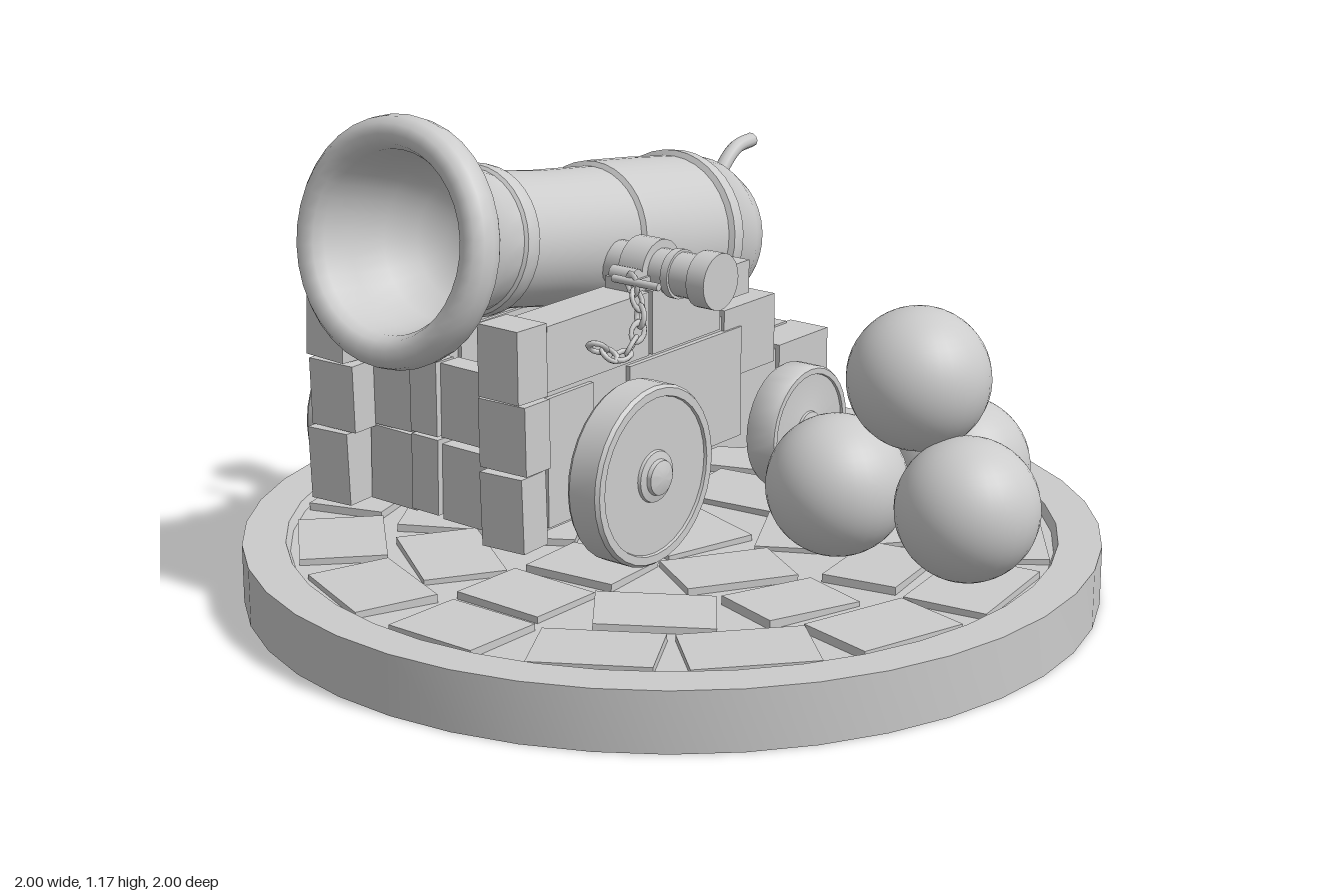
import * as THREE from 'three';
import { toCreasedNormals } from 'three/addons/utils/BufferGeometryUtils.js';

const grey = new THREE.MeshStandardMaterial({ color: 0xcccccc });
const greyDouble = new THREE.MeshStandardMaterial({ color: 0xcccccc, side: THREE.DoubleSide });

let seed = 7;
const jitter = (a) => {
  seed = (seed * 16807) % 2147483647;
  return (seed / 2147483647 - 0.5) * 2 * a;
};

function add(parent, name, geometry, x = 0, y = 0, z = 0, material = grey) {
  const mesh = new THREE.Mesh(geometry, material);
  mesh.name = name;
  mesh.position.set(x, y, z);
  parent.add(mesh);
  return mesh;
}
const box = (w, h, d) => new THREE.BoxGeometry(w, h, d);
// Cylinder lying along x
const rod = (r, length, sides = 20) => new THREE.CylinderGeometry(r, r, length, sides).rotateZ(-Math.PI / 2);
const lathe = (points, sides, crease = 0.6) => toCreasedNormals(
  new THREE.LatheGeometry(points.map(([r, y]) => new THREE.Vector2(r, y)), sides), crease);

// Round stand, open below, paved with rings of uneven stones
function makeBase() {
  const base = new THREE.Group();
  base.name = 'base';
  add(base, 'stand', lathe([[1, 0], [1, 0.14], [0.9, 0.14], [0.89, 0.118], [0, 0.118]], 40, 0.4), 0, 0, 0, greyDouble);
  const rings = [[0.77, 15, 0.19, 0.27], [0.54, 11, 0.19, 0.25], [0.31, 6, 0.19, 0.25], [0, 1, 0.24, 0.3]];
  for (const [radius, count, depth, width] of rings) {
    for (let i = 0; i < count; i++) {
      const a = ((i + radius) / count) * Math.PI * 2;
      const stone = add(base, 'pavingStone', box(width + jitter(0.03), 0.05, depth + jitter(0.015)),
        Math.sin(a) * radius, 0.109, Math.cos(a) * radius);
      stone.rotation.set(jitter(0.03), a + jitter(0.1), jitter(0.03));
    }
  }
  return base;
}

// Barrel along z, turned from one closed profile with a hollow bore
function makeBarrel() {
  const barrel = new THREE.Group();
  barrel.name = 'barrel';
  const profile = [
    [0, -0.655], [0.06, -0.645], [0.12, -0.612], [0.165, -0.565], [0.192, -0.505], [0.203, -0.43],
    [0.208, -0.425], [0.208, -0.39], [0.194, -0.385],
    [0.19, -0.25], [0.182, -0.1], [0.18, -0.08], [0.168, -0.075], [0.158, 0.12], [0.157, 0.295],
    [0.172, 0.3], [0.175, 0.32], [0.172, 0.34], [0.164, 0.345],
    [0.178, 0.41], [0.2, 0.47], [0.22, 0.515], [0.24, 0.535],
    [0.262, 0.543], [0.276, 0.56], [0.281, 0.585], [0.276, 0.61], [0.26, 0.628], [0.237, 0.633],
    [0.216, 0.622], [0.204, 0.598], [0.196, 0.52], [0.178, 0.43], [0.14, 0.36], [0.08, 0.325], [0, 0.315],
  ];
  add(barrel, 'gunTube', lathe(profile, 36, 0.7).rotateX(Math.PI / 2));
  barrel.position.y = 0.787;
  barrel.rotation.x = -0.182;
  return barrel;
}

// Wheel with raised rim and domed hub, facing outward along x
function makeWheel(name, side, r, width) {
  const wheel = new THREE.Group();
  wheel.name = name;
  const h = width / 2;
  const profile = [[0, -h], [r * 0.97, -h], [r, -h * 0.8], [r, h * 0.8], [r * 0.97, h], [r * 0.88, h],
    [r * 0.87, h * 0.85], [r * 0.29, h * 0.85], [r * 0.28, h], [r * 0.2, h + 0.004],
    [r * 0.19, h + 0.014], [r * 0.1, h + 0.02], [0, h + 0.021]];
  add(wheel, 'wheelDisc', lathe(profile, 32).rotateZ(-side * Math.PI / 2));
  return wheel;
}

// Chain of alternating links along a curve
function makeChain(side) {
  const chain = new THREE.Group();
  chain.name = 'chain';
  const curve = new THREE.CatmullRomCurve3([[0.32, 0.76, 0.15], [0.35, 0.69, 0.16], [0.36, 0.64, 0.2],
    [0.36, 0.62, 0.25], [0.34, 0.65, 0.3]].map(([x, y, z]) => new THREE.Vector3(side * x, y, z)));
  const links = 8;
  for (let i = 0; i < links; i++) {
    const t = i / (links - 1);
    const geometry = new THREE.TorusGeometry(0.015, 0.006, 6, 12).scale(1.5, 1, 1);
    geometry.rotateX(i % 2 ? Math.PI / 2 : 0);
    const p = curve.getPointAt(t);
    const link = add(chain, 'chainLink', geometry, p.x, p.y, p.z);
    link.quaternion.setFromUnitVectors(new THREE.Vector3(1, 0, 0), curve.getTangentAt(t));
  }
  add(chain, 'chainPin', rod(0.009, 0.13, 10), side * 0.33, 0.765, 0.15);
  return chain;
}

// One side of the carriage: stepped cheek, stacked blocks, wheels, trunnion
function makeSide(side) {
  const half = new THREE.Group();
  half.name = side > 0 ? 'leftSide' : 'rightSide';
  const outline = [[0.46, 0.25], [0.46, 0.72], [-0.2, 0.72], [-0.2, 0.6], [-0.42, 0.6], [-0.42, 0.47],
    [-0.64, 0.47], [-0.64, 0.25], [-0.3, 0.25], [-0.2, 0.28], [0.1, 0.28], [0.2, 0.25]];
  const shape = new THREE.Shape(outline.map(([z, y]) => new THREE.Vector2(z, y)));
  const cheek = new THREE.ExtrudeGeometry(shape, { depth: 0.09, bevelEnabled: false });
  add(half, 'cheek', cheek.rotateY(-Math.PI / 2).translate(0.045, 0, 0), side * 0.255);

  // Uneven blocks stacked at the front
  [[0.315, 0.172], [0.485, 0.158], [0.652, 0.166]].forEach(([y, height], i) => {
    const block = add(half, 'frontBlock', box(0.118 + (i % 2) * 0.016, height, 0.088 + jitter(0.008)),
      side * 0.257 + jitter(0.006), y, 0.495 + jitter(0.006));
    block.rotation.set(jitter(0.03), jitter(0.05), jitter(0.025));
  });
  // Planks along the top and the rear steps
  const planks = [[0.26, 0.65, 0.36, 0.15], [-0.06, 0.65, 0.26, 0.15], [0.36, 0.41, 0.16, 0.3],
    [-0.31, 0.53, 0.2, 0.17], [-0.53, 0.375, 0.2, 0.21], [-0.06, 0.43, 0.42, 0.27], [-0.26, 0.68, 0.09, 0.08]];
  for (const [z, y, depth, height] of planks)
    add(half, 'cheekPlank', box(0.112 + jitter(0.006), height, depth), side * 0.256, y, z).rotation.y = jitter(0.015);

  // Wheels
  const front = makeWheel('frontWheel', side, 0.21, 0.09);
  front.position.set(side * 0.4, 0.35, 0.222);
  const rear = makeWheel('rearWheel', side, 0.155, 0.08);
  rear.position.set(side * 0.383, 0.295, -0.405);
  half.add(front, rear);

  // Trunnion with end flange and bracket over it
  add(half, 'trunnion', rod(0.052, 0.3), side * 0.28, 0.755, 0);
  add(half, 'trunnionFlange', rod(0.066, 0.05, 24), side * 0.43, 0.755, 0);
  add(half, 'trunnionCollar', rod(0.058, 0.02, 24), side * 0.335, 0.755, 0);
  add(half, 'bracketCap', rod(0.072, 0.07, 24), side * 0.25, 0.755, 0);
  add(half, 'bracketFoot', box(0.085, 0.03, 0.22), side * 0.25, 0.738, 0);
  for (const z of [-0.088, 0.088])
    add(half, 'bracketBolt', rod(0.018, 0.07, 12), side * 0.25, 0.758, z);
  half.add(makeChain(side));
  return half;
}

function makeCarriage() {
  const carriage = new THREE.Group();
  carriage.name = 'carriage';
  carriage.add(makeSide(1), makeSide(-1));
  // Front boards, bed and rear transom between the cheeks
  for (const [x, width, z] of [[-0.13, 0.14, 0.435], [-0.02, 0.08, 0.45], [0.11, 0.18, 0.435]])
    for (const [y, height] of [[0.32, 0.18], [0.505, 0.175]])
      add(carriage, 'frontBoard', box(width, height, 0.06), x, y + jitter(0.008), z).rotation.z = jitter(0.02);
  add(carriage, 'bed', box(0.42, 0.08, 1.0), 0, 0.37, -0.08);
  add(carriage, 'rearTransom', box(0.42, 0.17, 0.1), 0, 0.4, -0.55);
  add(carriage, 'stool', box(0.22, 0.1, 0.22), 0, 0.45, -0.38);
  add(carriage, 'frontAxle', rod(0.045, 0.76), 0, 0.35, 0.222);
  add(carriage, 'rearAxle', rod(0.04, 0.73), 0, 0.295, -0.405);
  // Knob on the rear
  const knob = [[0.045, 0], [0.045, 0.02], [0.022, 0.025], [0.02, 0.085], [0.034, 0.105], [0.037, 0.12],
    [0.03, 0.142], [0.015, 0.153], [0, 0.155]];
  add(carriage, 'rearKnob', lathe(knob, 20).rotateX(-Math.PI / 2), 0, 0.47, -0.6);
  return carriage;
}

// Fuse and its collar on the breech
function makeFuse() {
  const fuse = new THREE.Group();
  fuse.name = 'fuse';
  const path = new THREE.CatmullRomCurve3([[0, 0.79, -0.57], [0, 0.855, -0.625], [0, 0.885, -0.67], [0, 0.893, -0.735]]
    .map((p) => new THREE.Vector3(...p)));
  add(fuse, 'fuseCord', new THREE.TubeGeometry(path, 16, 0.018, 10));
  add(fuse, 'fuseTip', new THREE.CircleGeometry(0.018, 10).rotateY(Math.PI), 0, 0.893, -0.735);
  add(fuse, 'fuseCollar', new THREE.TorusGeometry(0.026, 0.013, 10, 20), 0, 0.822, -0.597).rotation.x = 0.8;
  return fuse;
}

export function createModel() {
  const model = new THREE.Group();
  model.name = 'cannonOnStand';
  model.add(makeBase());

  const cannon = new THREE.Group();
  cannon.name = 'cannon';
  cannon.add(makeBarrel(), makeCarriage(), makeFuse());
  cannon.position.set(-0.282, 0, 0.105);
  cannon.rotation.y = 0.29;
  model.add(cannon);

  // Pile of cannonballs
  for (const [x, y, z] of [[0.425, 0.297, -0.515], [0.665, 0.297, -0.33], [0.365, 0.297, -0.2], [0.495, 0.56, -0.325]])
    add(model, 'cannonball', new THREE.SphereGeometry(0.164, 32, 24), x, y, z);
  return model;
}
